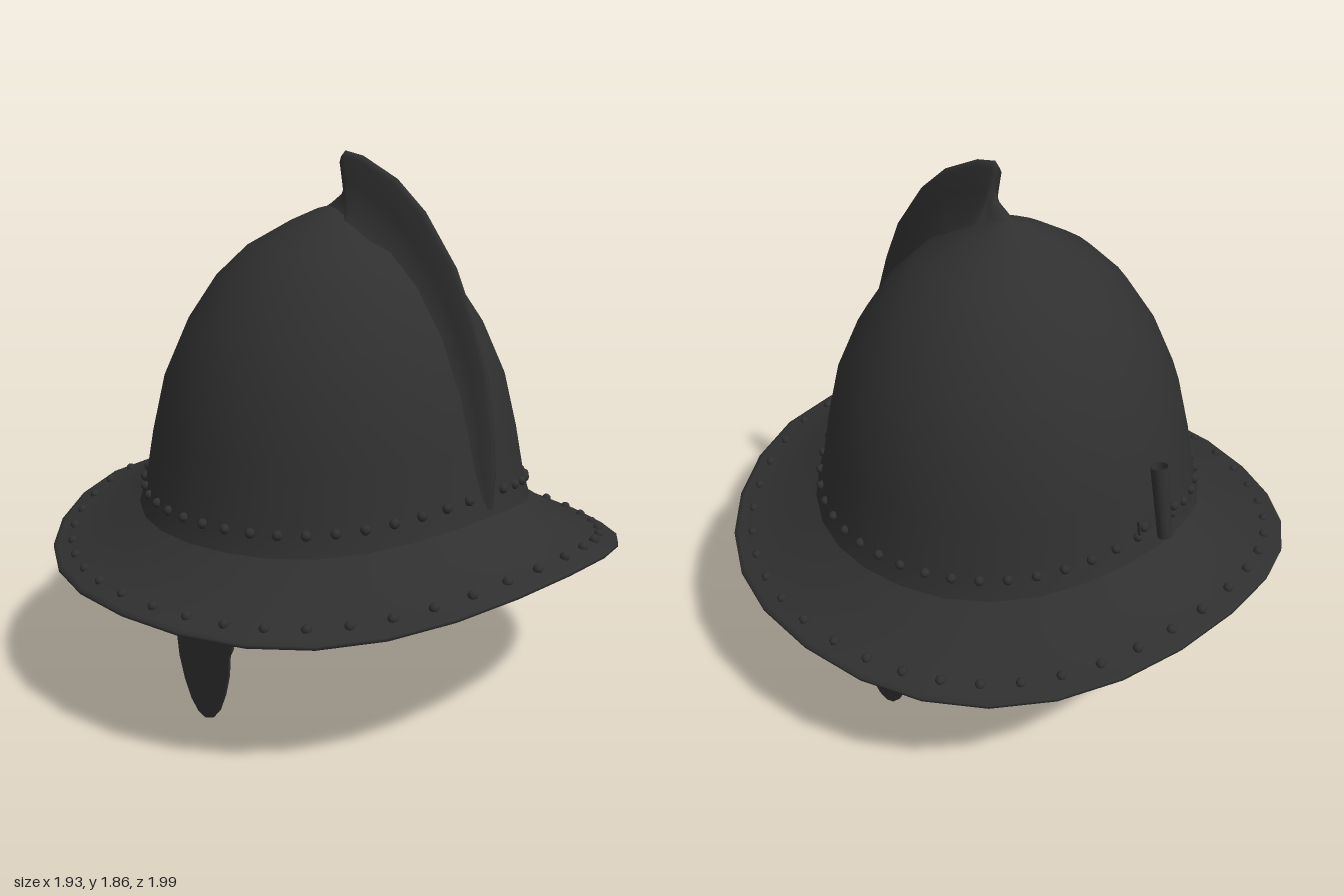
import * as THREE from 'three';

const SEG = 28;
const steel = new THREE.MeshStandardMaterial({ color: 0x303030, side: THREE.DoubleSide });
steel.name = 'dark steel';

// Skin a surface over rows of points; closed rows wrap around
function skin(rows, closed) {
  const n = rows[0].length, idx = [];
  for (let i = 0; i < rows.length - 1; i++) {
    for (let j = 0; j < (closed ? n : n - 1); j++) {
      const a = i * n + j, b = i * n + (j + 1) % n, c = b + n, d = a + n;
      idx.push(a, b, c, a, c, d);
    }
  }
  const g = new THREE.BufferGeometry();
  g.setAttribute('position', new THREE.Float32BufferAttribute(rows.flat(2), 3));
  g.setIndex(idx);
  g.computeVertexNormals();
  return g;
}

function add(parent, name, geometry, x = 0, y = 0, z = 0) {
  const m = new THREE.Mesh(geometry, steel);
  m.name = name;
  m.position.set(x, y, z);
  parent.add(m);
  return m;
}

const angles = Array.from({ length: SEG }, (_, i) => i * 2 * Math.PI / SEG);
// Seam and rim rise towards the front and back
const rise = a => Math.cos(a) ** 4;
const soft = (v, p) => Math.sign(v) * Math.abs(v) ** p;

// Point on the brim: s = 0 at the dome seam, 1 at the rim
function brimPoint(a, s, dy = 0) {
  const p = 1 - 0.07 * s, w = rise(a);
  const y = (0.635 + 0.08 * w) * (1 - s) + (0.472 + 0.122 * w) * s - 0.05 * s * (1 - s);
  return [soft(Math.sin(a), p) * (0.69 + 0.275 * s), y + dy, soft(Math.cos(a), p) * (0.695 + 0.3 * s)];
}

export function createModel() {
  const helmet = new THREE.Group();
  helmet.name = 'helmet';

  // Dome: [radius, height, share of the seam rise]
  const profile = [[0.69, 0.635, 1], [0.667, 0.71, 1], [0.635, 0.9, 0.4], [0.59, 1.1, 0], [0.51, 1.28, 0],
    [0.41, 1.43, 0], [0.3, 1.535, 0], [0.15, 1.62, 0], [0.06, 1.66, 0], [0.001, 1.675, 0]];
  add(helmet, 'dome', skin(profile.map(([r, y, k]) =>
    angles.map(a => [Math.sin(a) * r, y + 0.08 * k * rise(a), Math.cos(a) * r * 1.01])), true));

  // Brim with a folded lip underneath
  const brimRows = [[0.82, -0.012], [0.97, -0.014], [1, -0.006], [1, 0.004], [0.95, 0.006], [0.7, 0], [0.35, 0], [0, 0]];
  add(helmet, 'brim', skin(brimRows.map(([s, dy]) => angles.map(a => brimPoint(a, s, dy))), true));

  // Crest: ridge stations [outer z, outer y, base z, base y], ending in a swept-back hook
  const stations = [[0.69, 0.72, 0.68, 0.71], [0.7, 0.85, 0.63, 0.85], [0.69, 1.0, 0.6, 0.98],
    [0.66, 1.18, 0.55, 1.13], [0.6, 1.35, 0.48, 1.26], [0.53, 1.5, 0.4, 1.38], [0.4, 1.67, 0.3, 1.48],
    [0.28, 1.77, 0.22, 1.55], [0.13, 1.84, 0.14, 1.59], [0.05, 1.855, 0.12, 1.6], [0.03, 1.835, 0.11, 1.6],
    [0.065, 1.77, 0.09, 1.61], [0.045, 1.72, 0.06, 1.62], [0, 1.685, 0, 1.63], [-0.08, 1.64, -0.08, 1.62]];
  // Half section of the ridge: [x, share of the height]
  const half = [[0.1, 0], [0.047, 0.2], [0.027, 0.6], [0.014, 0.92]];
  const section = [...half.map(([x, h]) => [-x, h]), [0, 1], ...half.slice().reverse()];
  add(helmet, 'crest', skin(stations.map(([oz, oy, bz, by], i) => {
    const w = i === 0 ? 0.5 : 1;
    return section.map(([x, h]) => [x * w, by + (oy - by) * h, bz + (oz - bz) * h]);
  }), false));

  // Rivets around the dome and the brim
  const rivets = new THREE.Group();
  rivets.name = 'rivets';
  helmet.add(rivets);
  const rivet = new THREE.SphereGeometry(0.017, 8, 6);
  for (let i = 1; i < 46; i++) {
    if (i === 23) continue;
    const a = i * 2 * Math.PI / 46;
    add(rivets, 'domeRivet', rivet, 0.669 * Math.sin(a), 0.705 + 0.08 * rise(a), 0.676 * Math.cos(a));
  }
  for (let i = 0; i < 44; i++) {
    add(rivets, 'brimRivet', rivet, ...brimPoint((i + 0.5) * 2 * Math.PI / 44, 0.78, 0.004));
  }

  // Plume socket on the back
  const socket = new THREE.Group();
  socket.name = 'plumeSocket';
  socket.position.set(0, 0.885, -0.69);
  socket.rotation.x = 0.17;
  helmet.add(socket);
  add(socket, 'tube', new THREE.CylinderGeometry(0.029, 0.025, 0.26, 12, 1, true));
  add(socket, 'mountPlate', new THREE.BoxGeometry(0.2, 0.05, 0.01), 0, -0.06, 0.024);
  for (const s of [-1, 1]) add(socket, 'mountRivet', rivet, s * 0.08, -0.06, 0.018);

  // Cheek flaps: outline of the long tongue and of the overlapping upper plate
  const tongue = [[0.17, 0.6], [0.17, 0.4], [0.145, 0.29], [0.13, 0.265], [0.122, 0.19], [0.1, 0.115], [0.07, 0.05], [0.035, 0.012], [0, 0]];
  const upper = [[0.19, 0.56], [0.178, 0.46], [0.168, 0.39], [0.146, 0.285], [0.08, 0.265], [0, 0.26]];
  const plate = points => {
    const outline = [...points, ...points.slice(0, -1).reverse().map(([z, y]) => [-z, y])];
    const g = new THREE.ExtrudeGeometry(new THREE.Shape(outline.map(p => new THREE.Vector2(...p))),
      { depth: 0.008, bevelEnabled: false });
    return g.rotateY(Math.PI / 2);
  };
  for (const s of [-1, 1]) {
    const flap = new THREE.Group();
    flap.name = s > 0 ? 'leftCheekFlap' : 'rightCheekFlap';
    flap.position.x = s * 0.632;
    flap.rotation.z = -s * 0.02;
    helmet.add(flap);
    add(flap, 'tongue', plate(tongue), -0.004);
    add(flap, 'upperPlate', plate(upper), s * 0.005 - 0.004);
    add(flap, 'hingeBar', new THREE.CylinderGeometry(0.02, 0.02, 0.4, 10).rotateX(Math.PI / 2), -s * 0.012, 0.545);
  }
  return helmet;
}
